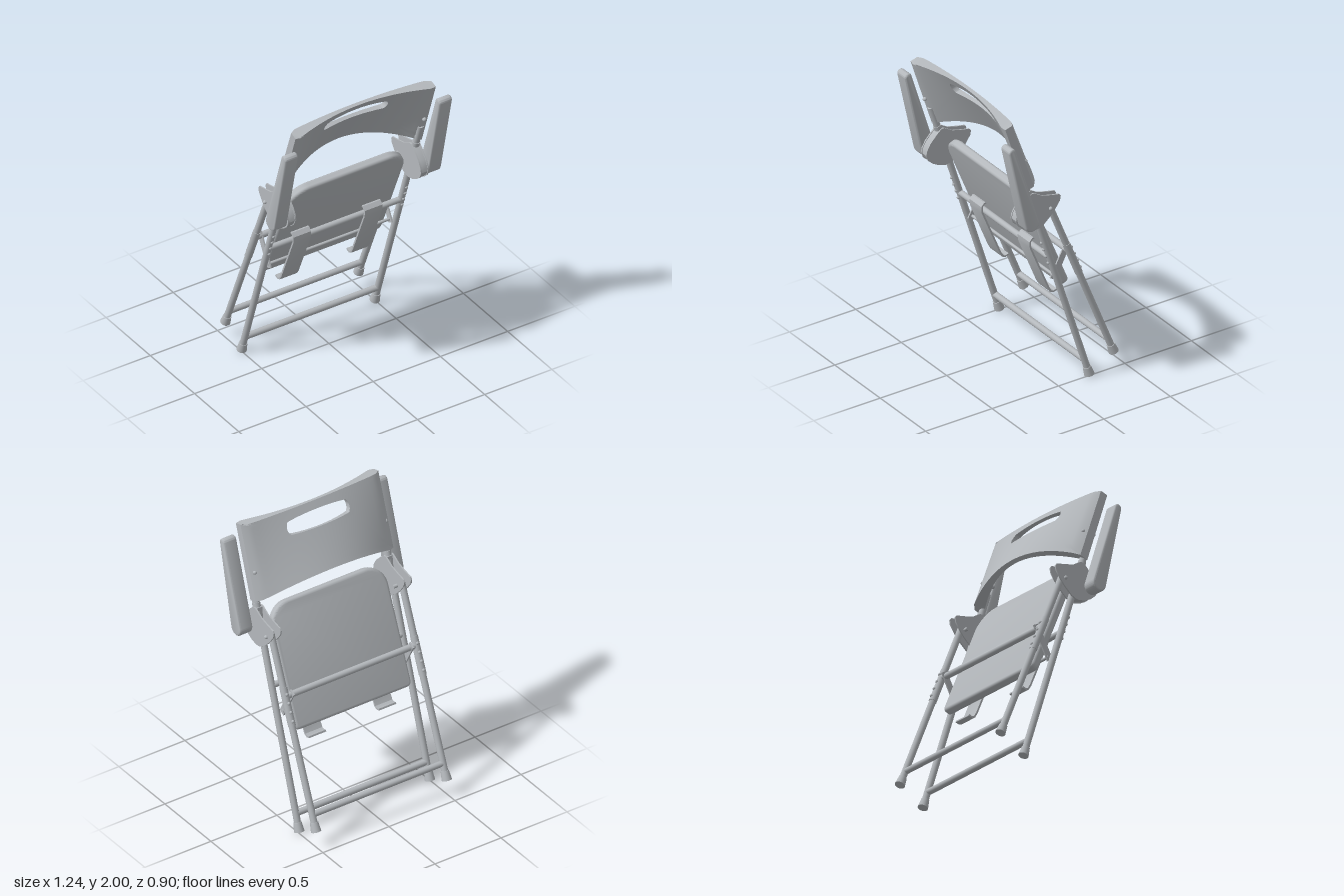
import * as THREE from 'three';
import { toCreasedNormals } from 'three/addons/utils/BufferGeometryUtils.js';

const metal = new THREE.MeshStandardMaterial({ color: 0xb4b8bc });
metal.name = 'satin grey';
const V = (x, y, z) => new THREE.Vector3(x, y, z);

// Points on the leg centre lines at a given height
const LEG_X = 0.495;
const frontLine = (y) => V(LEG_X, y, -0.238 + 0.321 * y);
const rearLine = (y) => V(LEG_X, y, -0.464 + 0.404 * y);

function add(parent, name, geometry) {
  const mesh = new THREE.Mesh(geometry, metal);
  mesh.name = name;
  parent.add(mesh);
  return mesh;
}

// Cylinder or cone running from a to b
function rod(parent, name, a, b, r, rEnd = r) {
  const dir = b.clone().sub(a);
  const mesh = add(parent, name, new THREE.CylinderGeometry(rEnd, r, dir.length(), 24));
  mesh.position.copy(a).add(b).multiplyScalar(0.5);
  mesh.quaternion.setFromUnitVectors(V(0, 1, 0), dir.normalize());
  return mesh;
}

function crossbar(parent, name, p, halfWidth, r) {
  rod(parent, name, V(-halfWidth, p.y, p.z), V(halfWidth, p.y, p.z), r);
}

function button(parent, name, p, r) {
  add(parent, name, new THREE.SphereGeometry(r, 12, 8)).position.copy(p);
}

// Extrudes a (z, y) outline sideways from x0 to x1
function sideExtrude(shape, x0, x1, bevel = 0) {
  const g = new THREE.ExtrudeGeometry(shape, {
    depth: x1 - x0 - 2 * bevel, curveSegments: 16, bevelEnabled: bevel > 0,
    bevelSize: bevel, bevelThickness: bevel, bevelOffset: -bevel, bevelSegments: 3,
  });
  g.rotateY(-Math.PI / 2);
  g.translate(x1 - bevel, 0, 0);
  return toCreasedNormals(g, 0.6);
}

// Outline of a bent sheet of even thickness
function stripShape(points, thickness) {
  const curve = new THREE.CurvePath();
  for (let i = 1; i < points.length; i++) curve.add(new THREE.LineCurve(points[i - 1], points[i]));
  const offset = (side) => points.map((p, i) => {
    const t = points[Math.min(i + 1, points.length - 1)].clone().sub(points[Math.max(i - 1, 0)]).normalize();
    return new THREE.Vector2(p.x - t.y * side * thickness / 2, p.y + t.x * side * thickness / 2);
  });
  return new THREE.Shape([...offset(1), ...offset(-1).reverse()]);
}

// Curved backrest shell: rings running from the hand slot to the rim and back
function backrestGeometry() {
  const W = 0.522, nx = 28, ny = 12, nr = 9;
  const mix = THREE.MathUtils.lerp;
  const rim = [];
  for (let i = 0; i < ny; i++) rim.push([1, mix(-1, 1, i / ny)]);
  for (let i = 0; i < nx; i++) rim.push([mix(1, -1, i / nx), 1]);
  for (let i = 0; i < ny; i++) rim.push([-1, mix(1, -1, i / ny)]);
  for (let i = 0; i < nx; i++) rim.push([mix(-1, 1, i / nx), -1]);

  // x across, v from 0 at the top to 1 at the bottom
  const place = (x, v, front) => {
    const f = (x / W) ** 2;
    const round = 0.02 * Math.max(0, (Math.abs(x) / W - 0.9) / 0.1) ** 2;
    return front
      ? [x, mix(mix(1.995, 1.977, f), mix(1.61, 1.485, f), v), mix(mix(0.342, 0.435, f), mix(0.108, 0.275, f), v) - round]
      : [x, mix(mix(2.0, 1.992, f), mix(1.626, 1.505, f), v), mix(mix(0.318, 0.345, f), mix(0.083, 0.18, f), v) + round];
  };
  const pos = [], index = [], loop = 2 * (nr + 1);
  const slotV = 0.25;
  for (const [a, b] of rim) {
    const t = Math.atan2(b, a), c = Math.cos(t), s = Math.sin(t);
    const ix = 0.185 * THREE.MathUtils.clamp(c * 1.5, -1, 1) + 0.05 * c;
    const iv = slotV - 0.125 * s;
    const ox = W * a, ov = b > 0 ? slotV * (1 - b) : slotV - b * (1 - slotV);
    for (let k = 0; k < loop; k++) {
      const front = k <= nr;
      const q = (front ? k : loop - 1 - k) / nr;
      pos.push(...place(mix(ix, ox, q), mix(iv, ov, q), front));
    }
  }
  const n = rim.length;
  for (let i = 0; i < n; i++) for (let k = 0; k < loop; k++) {
    const j = (i + 1) % n, l = (k + 1) % loop;
    const A = i * loop + k, B = i * loop + l, C = j * loop + l, D = j * loop + k;
    index.push(A, B, C, A, C, D);
  }
  const g = new THREE.BufferGeometry();
  g.setAttribute('position', new THREE.Float32BufferAttribute(pos, 3));
  g.setIndex(index);
  return toCreasedNormals(g, 0.6);
}

// Seat panel with wide upper corners and tight lower ones
function seatGeometry() {
  const w = 0.44, h = 0.41, R = 0.15, r = 0.04, b = 0.02;
  const s = new THREE.Shape();
  s.moveTo(-w + r, -h);
  s.lineTo(w - r, -h);
  s.quadraticCurveTo(w, -h, w, -h + r);
  s.lineTo(w, h - R);
  s.absarc(w - R, h - R, R, 0, Math.PI / 2, false);
  s.absarc(-w + R, h - R, R, Math.PI / 2, Math.PI, false);
  s.lineTo(-w, -h + r);
  s.quadraticCurveTo(-w, -h, -w + r, -h);
  const g = new THREE.ExtrudeGeometry(s, {
    depth: 0.02, bevelSize: b, bevelThickness: b, bevelOffset: -b, bevelSegments: 4, curveSegments: 12,
  });
  g.translate(0, 0, -0.01);
  return toCreasedNormals(g, 0.6);
}

// Everything that repeats left and right, built on the +x side
function buildSide(side) {
  const g = new THREE.Group();
  g.name = side > 0 ? 'leftSide' : 'rightSide';
  const mir = (p) => V(p.x * side, p.y, p.z);
  const span = (shape, x0, x1, bevel) => (side > 0 ? sideExtrude(shape, x0, x1, bevel) : sideExtrude(shape, -x1, -x0, bevel));

  // Legs, sleeves and flared feet
  rod(g, 'frontLeg', mir(frontLine(0.03)), mir(frontLine(1.62)), 0.022);
  rod(g, 'rearLeg', mir(rearLine(0.13)), mir(rearLine(1.33)), 0.022);
  rod(g, 'frontFoot', mir(frontLine(0.01)), mir(frontLine(0.07)), 0.033, 0.026);
  rod(g, 'rearFoot', mir(rearLine(0.112)), mir(rearLine(0.17)), 0.033, 0.026);
  rod(g, 'rearSleeve', mir(rearLine(0.76)), mir(rearLine(1.0)), 0.025);
  rod(g, 'backrestCollar', mir(frontLine(1.445)), mir(frontLine(1.475)), 0.026);

  // Rows of adjustment buttons
  for (let i = 0; i < 4; i++) {
    button(g, 'frontButton', mir(frontLine(0.91 + i * 0.053)).add(V(0, -0.006, 0.019)), 0.011);
    button(g, 'rearButton', mir(rearLine(0.79 + i * 0.055)).add(V(0, 0.008, -0.021)), 0.011);
  }

  // Pivot housing: two cheek plates joined by a solid front
  const cheek = new THREE.Shape([[0.2, 1.456], [0.14, 1.42], [0.07, 1.402], [0.01, 1.39], [0, 1.375], [0.005, 1.345], [0.04, 1.295],
    [0.075, 1.255], [0.13, 1.207], [0.16, 1.193], [0.19, 1.19], [0.24, 1.203], [0.286, 1.228], [0.32, 1.258],
    [0.336, 1.295], [0.33, 1.33], [0.305, 1.375], [0.244, 1.438], [0.222, 1.455]].reverse().map((p) => new THREE.Vector2(...p)));
  const core = new THREE.Shape([[0.2, 1.45], [0.17, 1.2], [0.19, 1.194], [0.24, 1.207], [0.286, 1.232], [0.316, 1.262],
    [0.332, 1.295], [0.326, 1.33], [0.302, 1.372], [0.242, 1.434], [0.222, 1.45]].map((p) => new THREE.Vector2(...p)));
  add(g, 'innerCheek', span(cheek, 0.463, 0.472));
  add(g, 'outerCheek', span(cheek, 0.515, 0.525));
  add(g, 'pivotFront', span(core, 0.47, 0.517));
  rod(g, 'pivotPin', V(0.435 * side, 1.31, 0.078), V(0.53 * side, 1.31, 0.078), 0.012);
  button(g, 'pivotPinHead', V(0.528 * side, 1.31, 0.078), 0.013);

  // Folded armrest, tapering towards its tip
  const arm = new THREE.Shape();
  const tilt = 0.26;
  arm.absarc(0.426, 1.86, 0.026, -tilt, Math.PI - tilt, false);
  arm.absarc(0.277, 1.3, 0.052, Math.PI - tilt, 2 * Math.PI - tilt, false);
  arm.closePath();
  add(g, 'armrest', span(arm, 0.524, 0.622, 0.012));

  // Backrest screws
  button(g, 'backScrew', V(LEG_X * side, 1.69, 0.246), 0.014);
  button(g, 'frontScrew', V(LEG_X * side, 1.69, 0.326), 0.014);

  // Link plate beside the seat
  const link = stripShape([new THREE.Vector2(0.012, 0.75), new THREE.Vector2(-0.1, 0.965)], 0.045);
  add(g, 'linkPlate', span(link, 0.447, 0.457));

  // Hooked strap over the front bar, running down past the seat
  const strap = stripShape([[0.028, 0.945], [0.036, 0.98], [0.055, 1.0], [0.078, 1.0], [0.097, 0.98], [0.094, 0.94],
    [-0.042, 0.61], [-0.06, 0.58], [-0.08, 0.572], [-0.105, 0.58]].map((p) => new THREE.Vector2(...p)), 0.012);
  add(g, 'hookStrap', span(strap, 0.2, 0.33));
  return g;
}

export function createModel() {
  const model = new THREE.Group();
  model.name = 'foldedChair';
  model.add(buildSide(1), buildSide(-1));

  // Bars joining the two sides
  crossbar(model, 'frontFootBar', frontLine(0.125), LEG_X, 0.021);
  crossbar(model, 'rearFootBar', rearLine(0.215), LEG_X, 0.02);
  crossbar(model, 'rearSeatBar', rearLine(0.94), LEG_X, 0.021);
  crossbar(model, 'frontSeatBar', frontLine(0.94), LEG_X, 0.02);
  crossbar(model, 'thinRod', V(0, 0.77, 0), 0.46, 0.01);

  const seat = add(model, 'seat', seatGeometry());
  seat.position.set(0, 1.05, 0.055);
  seat.rotation.x = 0.39;

  add(model, 'backrest', backrestGeometry());
  return model;
}
